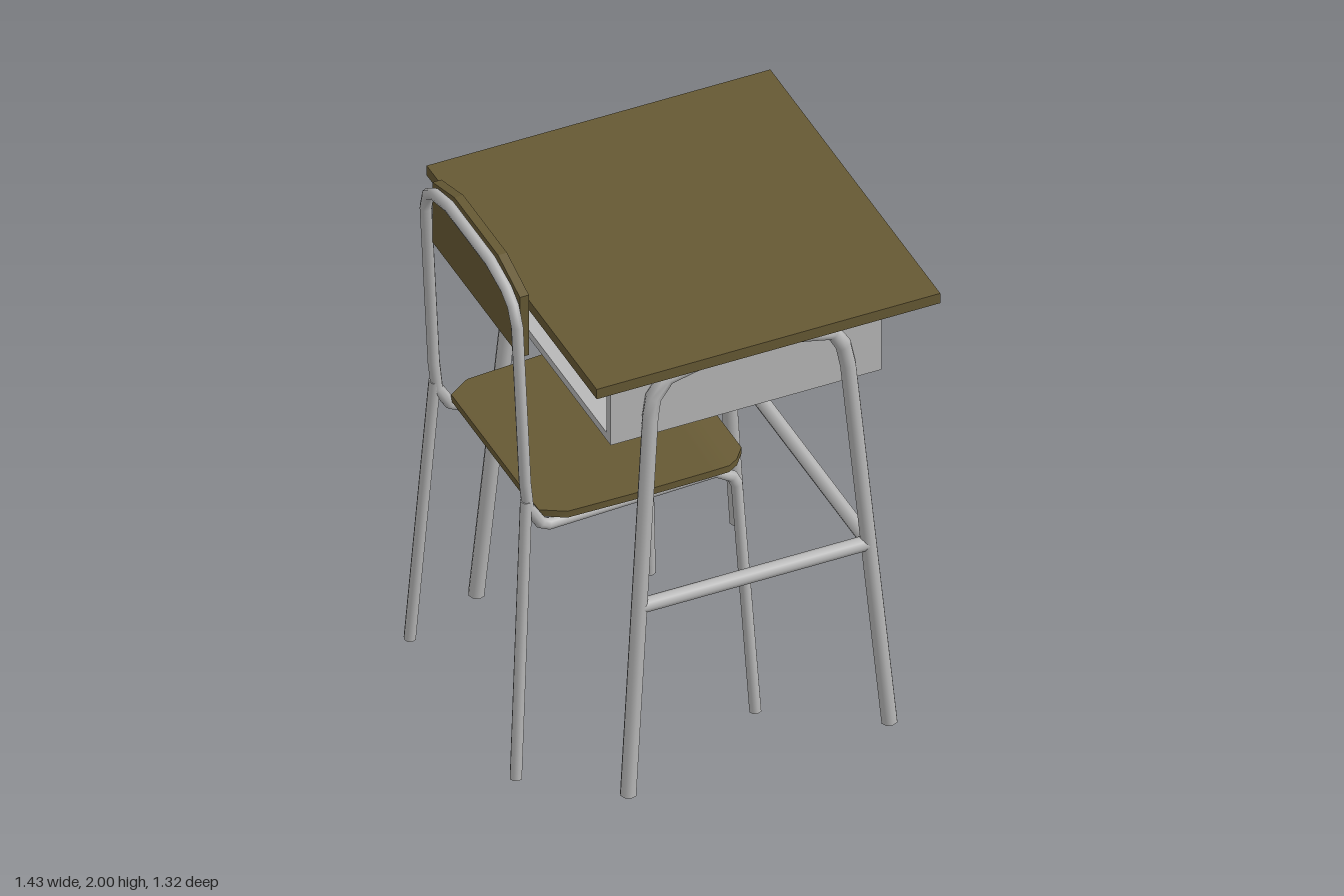
import * as THREE from 'three';
import { mergeGeometries } from 'three/addons/utils/BufferGeometryUtils.js';

// Bent tube path: one ring at each point, mitred at the bends
class BentPath extends THREE.Curve {
  constructor(points) {
    super();
    this.points = points;
  }
  getPoint(t) {
    const n = this.points.length - 1;
    const i = Math.min(Math.floor(t * n + 1e-6), n - 1);
    return this.points[i].clone().lerp(this.points[i + 1], t * n - i);
  }
  getPointAt(t) { return this.getPoint(t); }
  getTangentAt(t) {
    const p = this.points, n = p.length - 1, i = Math.round(t * n);
    const dir = new THREE.Vector3();
    if (i > 0) dir.add(p[i].clone().sub(p[i - 1]).normalize());
    if (i < n) dir.add(p[i + 1].clone().sub(p[i]).normalize());
    return dir.normalize();
  }
}

// Capped tube through a list of [x, y, z]
function tubeGeometry(list, radius) {
  const path = new BentPath(list.map((p) => new THREE.Vector3(...p)));
  const n = list.length - 1;
  const parts = [new THREE.TubeGeometry(path, n, radius, 8, false)];
  for (const end of [0, 1]) {
    const out = path.getTangentAt(end).multiplyScalar(end ? 1 : -1);
    const cap = new THREE.CircleGeometry(radius, 8);
    cap.applyQuaternion(new THREE.Quaternion().setFromUnitVectors(new THREE.Vector3(0, 0, 1), out));
    const at = path.points[end * n];
    parts.push(cap.translate(at.x, at.y, at.z));
  }
  return mergeGeometries(parts);
}

export function createModel() {
  const model = new THREE.Group();
  model.name = 'schoolDeskAndChair';
  const desk = new THREE.Group();
  desk.name = 'desk';
  const chair = new THREE.Group();
  chair.name = 'chair';
  model.add(desk, chair);

  const wood = new THREE.MeshStandardMaterial({ name: 'brown wood', color: 0x665934 });
  const metal = new THREE.MeshStandardMaterial({ name: 'grey metal', color: 0xb8b8b8 });

  const add = (parent, name, geometry, material) => {
    const mesh = new THREE.Mesh(geometry, material);
    mesh.name = name;
    parent.add(mesh);
  };
  const box = (parent, name, material, x0, x1, y0, y1, z0, z1) => add(parent, name,
    new THREE.BoxGeometry(x1 - x0, y1 - y0, z1 - z0)
      .translate((x0 + x1) / 2, (y0 + y1) / 2, (z0 + z1) / 2), material);
  const tube = (parent, name, points, radius) => add(parent, name, tubeGeometry(points, radius), metal);

  // Desk top and book tray, open towards the chair
  box(desk, 'deskTop', wood, -0.52, 0.71, 1.71, 1.75, -0.66, 0.66);
  box(desk, 'trayBottom', metal, -0.39, 0.58, 1.36, 1.39, -0.487, 0.487);
  box(desk, 'trayTop', metal, -0.39, 0.58, 1.68, 1.71, -0.487, 0.487);
  box(desk, 'trayEndPanel', metal, 0.54, 0.565, 1.39, 1.68, -0.455, 0.455);

  // Side frames: arched legs leaning inwards, with a low rail
  const arch = [[-0.375, 0], [-0.262, 1.46], [-0.25, 1.53], [-0.2, 1.595], [-0.06, 1.627], [0.09, 1.638],
    [0.25, 1.625], [0.395, 1.59], [0.43, 1.53], [0.445, 1.45], [0.56, 0]];
  const lean = (y) => 0.59 - 0.05 * y;
  for (const s of [-1, 1]) {
    const wall = [0.455 * s, 0.487 * s].sort((a, b) => a - b);
    box(desk, 'traySide', metal, -0.39, 0.58, 1.39, 1.68, ...wall);
    tube(desk, 'deskLegFrame', arch.map(([x, y]) => [x, y, s * lean(y)]), 0.028);
    tube(desk, 'sideRail', [[-0.32, 0.725, s * lean(0.725)], [0.5, 0.725, s * lean(0.725)]], 0.026);
  }
  tube(desk, 'crossRail', [[0.503, 0.725, -lean(0.725)], [0.503, 0.725, lean(0.725)]], 0.026);

  // Chair frame: front leg, seat rail, upright and back arch as one bent tube
  const half = [[0.163, 0.045, 0.41], [0.122, 0.95, 0.355], [0.107, 0.982, 0.352], [0.045, 1.02, 0.352],
    [-0.55, 0.998, 0.352], [-0.578, 1.012, 0.352], [-0.625, 1.09, 0.353], [-0.636, 1.2, 0.354],
    [-0.664, 1.84, 0.355], [-0.667, 1.91, 0.33], [-0.668, 1.945, 0.28], [-0.67, 1.978, 0.16]];
  const other = half.map(([x, y, z]) => [x, y, -z]).reverse();
  tube(chair, 'chairFrame', [...half, ...other], 0.021);
  for (const s of [-1, 1]) {
    tube(chair, 'rearLeg', [[-0.695, 0.045, s * 0.412], [-0.632, 1.12, s * 0.355]], 0.021);
  }

  // Seat: a board shaped by stations of x, top height and half width
  const stations = [[-0.58, 1.055, 0.34], [-0.5, 1.058, 0.39], [-0.25, 1.063, 0.4], [0.0, 1.07, 0.405],
    [0.075, 1.068, 0.4], [0.125, 1.045, 0.35], [0.178, 1.02, 0.27]];
  const seat = new THREE.BoxGeometry(1, 1, 1, stations.length - 1, 1, 1);
  const p = seat.attributes.position;
  for (let i = 0; i < p.count; i++) {
    const [x, top, w] = stations[Math.round((p.getX(i) + 0.5) * (stations.length - 1))];
    p.setXYZ(i, x, top - (p.getY(i) < 0 ? 0.026 : 0), p.getZ(i) * 2 * w);
  }
  seat.computeVertexNormals();
  add(chair, 'seat', seat, wood);

  // Backrest: a plate with cut upper corners
  const outline = [[-0.34, 1.7], [0.34, 1.7], [0.34, 1.945], [0.17, 2], [-0.17, 2], [-0.34, 1.945]];
  const backrest = new THREE.ExtrudeGeometry(
    new THREE.Shape(outline.map(([x, y]) => new THREE.Vector2(x, y))), { depth: 0.032, bevelEnabled: false });
  backrest.rotateY(Math.PI / 2).translate(-0.647, 0, 0);
  add(chair, 'backrest', backrest, wood);

  return model;
}
